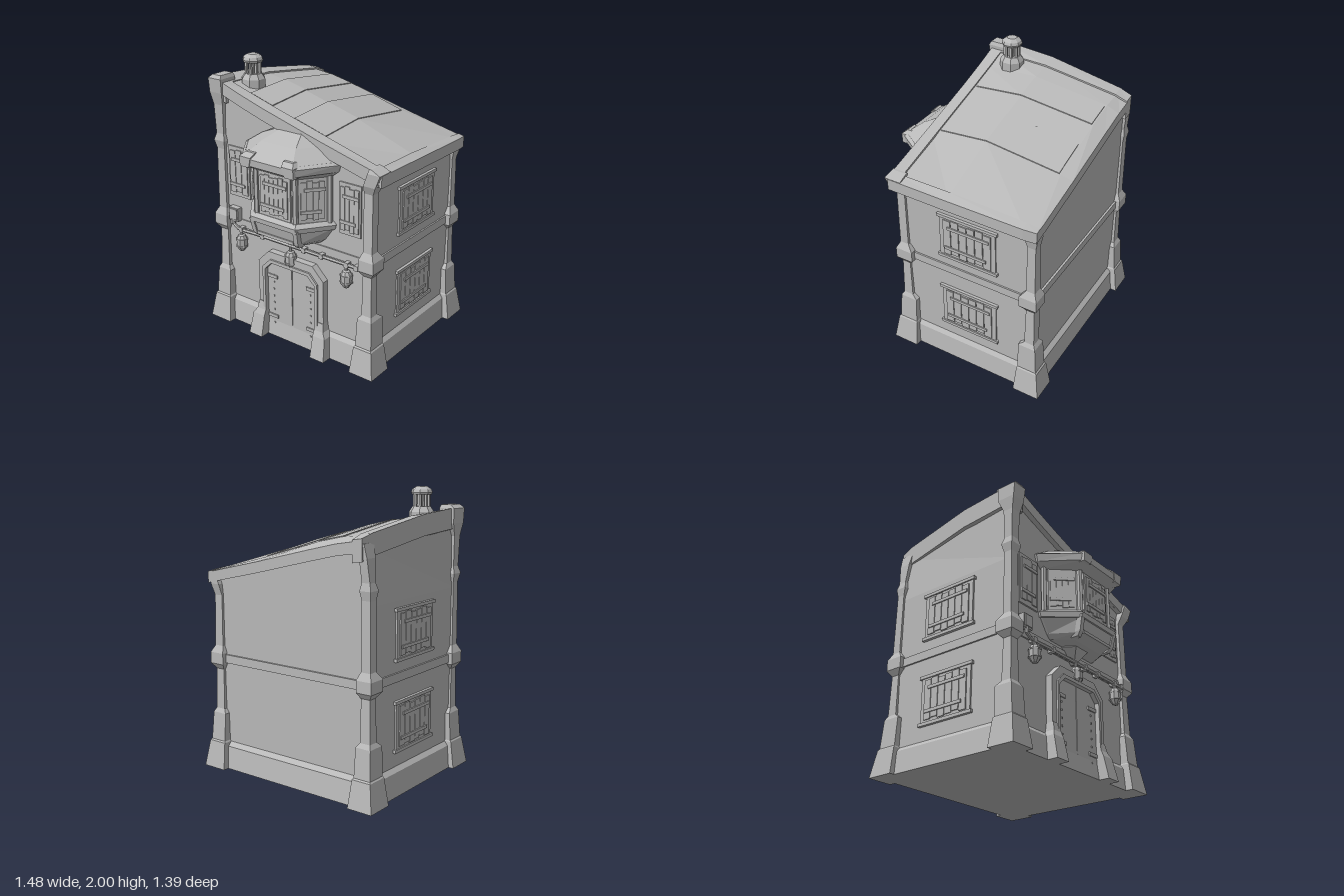
import * as THREE from 'three';

const stone = new THREE.MeshStandardMaterial({ color: 0xb8b8b8 });
stone.name = 'plain grey';

// Flat-faceted mesh added to a parent
function add(parent, name, geo, x = 0, y = 0, z = 0) {
  const g = geo.index ? geo.toNonIndexed() : geo;
  g.computeVertexNormals();
  const m = new THREE.Mesh(g, stone);
  m.name = name;
  m.position.set(x, y, z);
  parent.add(m);
  return m;
}
const box = (p, name, w, h, d, x, y, z) => add(p, name, new THREE.BoxGeometry(w, h, d), x, y, z);

// Capped solid through equal-length rings of [x, y, z]
function loft(parent, name, rings) {
  const n = rings[0].length, tris = [], last = rings.length - 1;
  for (let i = 0; i < last; i++) for (let j = 0; j < n; j++) {
    const k = (j + 1) % n, a = rings[i][j], b = rings[i][k], c = rings[i + 1][k], d = rings[i + 1][j];
    tris.push([a, b, c], [a, c, d]);
  }
  for (let j = 1; j < n - 1; j++) {
    tris.push([rings[0][0], rings[0][j + 1], rings[0][j]]);
    tris.push([rings[last][0], rings[last][j], rings[last][j + 1]]);
  }
  // Turn faces outward whatever the ring direction
  const V = (p) => new THREE.Vector3(...p);
  const vol = tris.reduce((s, [a, b, c]) => s + V(a).dot(V(b).cross(V(c))), 0);
  if (vol < 0) tris.forEach((t) => t.reverse());
  const geo = new THREE.BufferGeometry();
  geo.setAttribute('position', new THREE.Float32BufferAttribute(tris.flat(2), 3));
  return add(parent, name, geo);
}
const rect = (y, x0, x1, z0, z1) => [[x0, y, z0], [x1, y, z0], [x1, y, z1], [x0, y, z1]];

// Humped roof: heights at crossings of x and z stations
const ROOF_X = [-0.66, -0.42, -0.21, 0.24, 0.74];
const ROOF_Z = [0.46, 0, -0.55, -0.645];
const ROOF_Y = [[1.845, 1.76, 1.695, 1.57, 1.44], [1.82, 1.785, 1.735, 1.61, 1.43],
  [1.74, 1.715, 1.67, 1.54, 1.41], [1.715, 1.675, 1.625, 1.515, 1.4]];
function sample(stations, values, t) {
  const s = Math.sign(stations[1] - stations[0]);
  let i = 0;
  while (i < stations.length - 2 && (t - stations[i + 1]) * s > 0) i++;
  return THREE.MathUtils.mapLinear(t, stations[i], stations[i + 1], values[i], values[i + 1]);
}
const roofY = (x, z) => sample(ROOF_Z, ROOF_Y.map((row) => sample(ROOF_X, row, x)), z);

// Slab following the roof between two x and z limits
function roofSlab(parent, name, x0, x1, z0, z1, up, down) {
  const xs = [x0, ...ROOF_X.filter((x) => x > x0 && x < x1), x1];
  const zs = [z1, ...ROOF_Z.filter((z) => z > z0 && z < z1), z0];
  loft(parent, name, xs.map((x) => [...zs.map((z) => [x, roofY(x, z) + up, z]),
    ...[...zs].reverse().map((z) => [x, roofY(x, z) - down, z])]));
}
// Edge beam running front to back through stations of z, x0, x1
function edgeBeam(parent, name, stations, up, down) {
  loft(parent, name, stations.map(([z, x0, x1]) => [[x0, roofY(x0, z) + up, z], [x1, roofY(x1, z) + up, z],
    [x1, roofY(x1, z) - down, z], [x0, roofY(x0, z) - down, z]]));
}

// Plank shutter facing +z, with backing frame and two battens
function shutter(parent, name, w, h, planks, x, y, z, ry = 0, sill = false) {
  const g = new THREE.Group();
  g.name = name;
  g.position.set(x, y, z);
  g.rotation.y = ry;
  parent.add(g);
  box(g, 'shutterBack', w, h, 0.016, 0, 0, 0);
  const pw = (w * 0.86) / planks;
  for (let i = 0; i < planks; i++) {
    const dy = [0, 0.008, -0.006][i % 3];
    box(g, 'plank', pw * 0.92, h * 0.84, 0.012, (i - (planks - 1) / 2) * pw, dy, 0.01);
  }
  for (const s of [-1, 1]) box(g, 'batten', w * 0.74, 0.022, 0.014, s * 0.012, s * h * 0.25, 0.017);
  if (sill) for (const s of [-1, 1]) box(g, 'sill', w + 0.03, 0.022, 0.022, 0, s * h / 2, 0.006);
}

export function createModel() {
  const house = new THREE.Group();
  house.name = 'house';

  // Walls, flared plinth and string course
  const topRing = [[-0.615, -0.6], [0.645, -0.6], [0.652, 0.415], [-0.648, 0.415]].map(([x, z]) => [x, roofY(x, z) - 0.05, z]);
  loft(house, 'walls', [rect(0.01, -0.657, 0.652, -0.6, 0.415), rect(1.3, -0.655, 0.652, -0.6, 0.415), topRing]);
  loft(house, 'plinth', [rect(0, -0.7, 0.69, -0.65, 0.46), rect(0.16, -0.682, 0.675, -0.63, 0.44), rect(0.19, -0.657, 0.652, -0.6, 0.415)]);
  loft(house, 'stringCourse', [rect(0.77, -0.668, 0.663, -0.615, 0.425), rect(0.83, -0.668, 0.663, -0.615, 0.425)]);

  // Corner posts: height, outer and inner x, outer and inner z (measured from mid depth)
  const shaft = [[0, 0.738, 0.55, 0.605, 0.41], [0.19, 0.708, 0.565, 0.575, 0.42], [0.2, 0.7, 0.572, 0.565, 0.425],
    [0.4, 0.69, 0.575, 0.55, 0.42], [0.43, 0.675, 0.598, 0.533, 0.46], [0.72, 0.668, 0.6, 0.527, 0.465],
    [0.76, 0.697, 0.58, 0.555, 0.425], [0.84, 0.697, 0.58, 0.555, 0.425], [0.89, 0.672, 0.6, 0.53, 0.465]];
  const caps = {
    highFront: [[1.34, 0.668, 0.6, 0.528, 0.465], [1.4, 0.682, 0.585, 0.54, 0.45], [1.45, 0.667, 0.6, 0.528, 0.465],
      [1.66, 0.672, 0.59, 0.535, 0.46], [1.75, 0.685, 0.575, 0.555, 0.42], [1.85, 0.685, 0.57, 0.565, 0.42], [1.875, 0.655, 0.58, 0.55, 0.43]],
    highBack: [[1.34, 0.668, 0.6, 0.525, 0.465], [1.4, 0.675, 0.59, 0.535, 0.45], [1.45, 0.662, 0.6, 0.525, 0.465],
      [1.6, 0.65, 0.59, 0.54, 0.45], [1.69, 0.63, 0.57, 0.545, 0.44]],
    lowFront: [[1.3, 0.668, 0.6, 0.528, 0.465], [1.36, 0.7, 0.61, 0.555, 0.45], [1.45, 0.738, 0.645, 0.562, 0.44], [1.478, 0.665, 0.65, 0.55, 0.44]],
    lowBack: [[1.25, 0.667, 0.6, 0.525, 0.465], [1.33, 0.685, 0.61, 0.545, 0.45], [1.4, 0.69, 0.645, 0.545, 0.45]],
  };
  for (const sx of [-1, 1]) for (const sz of [-1, 1]) {
    const cap = caps[(sx < 0 ? 'high' : 'low') + (sz > 0 ? 'Front' : 'Back')];
    loft(house, 'cornerPost', [...shaft, ...cap].map(([y, ox, ix, oz, iz]) =>
      rect(y, sx * ox, sx * ix, sz * oz - 0.09, sz * iz - 0.09)));
  }

  // Roof: slab, front fascia, edge beams and overlapping panels
  roofSlab(house, 'roof', -0.6, 0.705, -0.64, 0.44, 0, 0.075);
  roofSlab(house, 'frontFascia', -0.6, 0.72, 0.37, 0.455, 0.012, 0.075);
  edgeBeam(house, 'highEdgeBeam', [[0.44, -0.668, -0.56], [0, -0.662, -0.55], [-0.55, -0.632, -0.545], [-0.64, -0.62, -0.545]], 0.012, 0.13);
  edgeBeam(house, 'lowEdgeBeam', [[0.45, 0.67, 0.738], [0, 0.67, 0.735], [-0.55, 0.665, 0.72], [-0.64, 0.66, 0.705]], 0.006, 0.075);
  roofSlab(house, 'roofPanel', -0.4, -0.21, -0.54, 0.36, 0.006, 0.02);
  roofSlab(house, 'roofPanel', -0.02, 0.24, -0.54, 0.36, 0.006, 0.02);

  // Chimney with pillars under a domed cap
  const chimney = new THREE.Group();
  chimney.name = 'chimney';
  chimney.position.set(-0.487, 0, 0.233);
  house.add(chimney);
  const turned = (pts) => new THREE.LatheGeometry(pts.map(([r, y]) => new THREE.Vector2(r, y)), 8, Math.PI / 8);
  add(chimney, 'chimneyBase', turned([[0, 1.7], [0.086, 1.7], [0.086, 1.83], [0.062, 1.865], [0, 1.865]]));
  add(chimney, 'chimneyFlue', new THREE.CylinderGeometry(0.032, 0.032, 0.1, 8), 0, 1.91, 0);
  for (let i = 0; i < 8; i++) {
    const a = (i + 0.5) * Math.PI / 4;
    box(chimney, 'chimneyPillar', 0.016, 0.1, 0.016, 0.05 * Math.cos(a), 1.91, 0.05 * Math.sin(a));
  }
  add(chimney, 'chimneyCap', turned([[0, 1.945], [0.068, 1.945], [0.074, 1.96], [0.066, 1.98], [0.036, 2], [0, 2]]));

  // Bay window: height, half width at wall, half width of front, front z
  const bay = new THREE.Group();
  bay.name = 'bayWindow';
  bay.position.x = 0.005;
  house.add(bay);
  const SKEW = 0.02; // the right front corner sits a little further out
  const bayRing = ([y, a, f, z]) => [[-a, y, 0.38], [-a, y, 0.43], [-f, y, z], [f + Math.min(SKEW, f * 0.2), y, z], [a, y, 0.43], [a, y, 0.38]];
  const tier = (name, rows) => loft(bay, name, rows.map(bayRing));
  tier('bayBracket', [[0.75, 0.008, 0.004, 0.44], [0.85, 0.11, 0.06, 0.5], [0.87, 0.11, 0.06, 0.5]]);
  tier('bayBase', [[0.855, 0.24, 0.15, 0.55], [0.885, 0.275, 0.165, 0.61], [0.985, 0.345, 0.175, 0.635]]);
  tier('bayLedge', [[0.98, 0.355, 0.18, 0.645], [1.015, 0.365, 0.185, 0.65], [1.04, 0.335, 0.17, 0.625]]);
  tier('bayWall', [[1.03, 0.325, 0.155, 0.61], [1.38, 0.325, 0.155, 0.61]]);
  tier('bayEave', [[1.35, 0.335, 0.165, 0.625], [1.39, 0.385, 0.2, 0.69], [1.44, 0.4, 0.205, 0.695], [1.455, 0.38, 0.195, 0.67]]);
  tier('bayRoof', [[1.45, 0.385, 0.195, 0.68], [1.535, 0.25, 0.135, 0.57], [1.61, 0.1, 0.06, 0.42]]);
  shutter(bay, 'bayFrontShutter', 0.27, 0.31, 6, SKEW / 2, 1.195, 0.613);
  for (const s of [-1, 1]) {
    const fx = 0.155 + (s > 0 ? SKEW : 0), e = fx - 0.155;
    shutter(bay, 'baySideShutter', 0.19, 0.31, 4, s * (fx + 0.325) / 2, 1.195, 0.522, s * Math.atan2(0.18, 0.325 - fx));
    for (const [x, z] of [[fx, 0.61], [0.325, 0.435]]) {
      add(bay, 'bayPost', new THREE.CylinderGeometry(0.02, 0.02, 0.34, 6), s * x, 1.2, z);
    }
    // Ribs on the lower tier and blocks on the eave corners
    const corner = (y, x0, x1, z0, z1) => rect(y, s * (x0 + e), s * (x1 + e), z0, z1);
    loft(bay, 'bayRib', [corner(0.86, 0.14, 0.175, 0.54, 0.595), corner(0.89, 0.15, 0.185, 0.565, 0.622), corner(1, 0.16, 0.195, 0.59, 0.648)]);
    loft(bay, 'eaveBlock', [corner(1.38, 0.14, 0.215, 0.63, 0.695), corner(1.45, 0.12, 0.215, 0.62, 0.7), corner(1.478, 0.11, 0.19, 0.6, 0.665)]);
  }
  box(bay, 'bayRail', 0.31, 0.022, 0.03, SKEW / 2, 0.895, 0.61);

  // Shutters on front and side walls
  shutter(house, 'frontShutter', 0.19, 0.37, 3, -0.475, 1.19, 0.418);
  shutter(house, 'frontShutter', 0.17, 0.36, 4, 0.485, 1.15, 0.418);
  for (const s of [-1, 1]) for (const y of [0.465, 1.08]) {
    shutter(house, 'sideShutter', 0.43, 0.33, 6, s * (s < 0 ? 0.66 : 0.655), y, -0.105, s * Math.PI / 2, true);
  }

  // Door: chamfered arch, stepped feet, two leaves with hinges
  const door = new THREE.Group();
  door.name = 'door';
  door.position.x = 0.005;
  house.add(door);
  const arch = (w, h, c) => [[-w, 0], [-w, h - c], [-w + c, h], [w - c, h], [w, h - c], [w, 0]].map(([x, y]) => new THREE.Vector2(x, y));
  const extrude = (pts, depth) => new THREE.ExtrudeGeometry(new THREE.Shape(pts), { depth, bevelEnabled: false });
  add(door, 'doorFrame', extrude([...arch(0.29, 0.675, 0.095), ...arch(0.23, 0.605, 0.06).reverse()], 0.065), 0, 0, 0.4);
  add(door, 'innerDoorFrame', extrude([...arch(0.245, 0.62, 0.07), ...arch(0.222, 0.595, 0.06).reverse()], 0.078), 0, 0, 0.4);
  for (const s of [-1, 1]) {
    loft(door, 'doorFoot', [rect(0, s * 0.222, s * 0.34, 0.4, 0.535), rect(0.16, s * 0.222, s * 0.325, 0.4, 0.5),
      rect(0.2, s * 0.222, s * 0.3, 0.4, 0.482), rect(0.26, s * 0.23, s * 0.29, 0.4, 0.47)]);
    const leaf = [[0.003, 0], [0.003, 0.6], [0.165, 0.6], [0.225, 0.54], [0.225, 0]].map(([x, y]) => new THREE.Vector2(s * x, y));
    add(door, 'doorLeaf', extrude(leaf, 0.045), 0, 0, 0.4);
    for (const y of [0.16, 0.48]) box(door, 'hinge', 0.09, 0.025, 0.012, s * 0.175, y, 0.448);
    for (let i = 0; i < 9; i++) box(door, 'rivet', 0.009, 0.012, 0.008, s * 0.165, 0.05 + i * 0.055, 0.447);
  }
  box(door, 'threshold', 0.45, 0.19, 0.02, 0, 0.095, 0.4);

  // Pipe with clips, meter box and hanging lamps
  const path = new THREE.CatmullRomCurve3([[-0.525, 0.84], [-0.522, 0.79], [-0.49, 0.768], [-0.3, 0.768], [0.3, 0.768], [0.57, 0.768]]
    .map(([x, y]) => new THREE.Vector3(x, y, 0.45)));
  add(house, 'pipe', new THREE.TubeGeometry(path, 24, 0.013, 6));
  for (const x of [-0.45, -0.25, 0.12, 0.27, 0.48, 0.56]) box(house, 'pipeClip', 0.03, 0.036, 0.045, x, 0.768, 0.442);
  box(house, 'meterBox', 0.085, 0.1, 0.045, -0.52, 0.87, 0.435);
  box(house, 'meterLid', 0.07, 0.08, 0.01, -0.52, 0.872, 0.46);
  const lamp = [[0, 0.6], [0.018, 0.605], [0.04, 0.638], [0.042, 0.695], [0.027, 0.725], [0.012, 0.732], [0.01, 0.765], [0, 0.765]];
  for (const x of [-0.45, 0.005, 0.48]) {
    add(house, 'lamp', turned(lamp), x, 0, 0.455);
    for (const y of [0.64, 0.69]) add(house, 'lampBand', turned([[0.036, y], [0.045, y], [0.045, y + 0.01], [0.036, y + 0.01]]), x, 0, 0.455);
  }
  return house;
}
